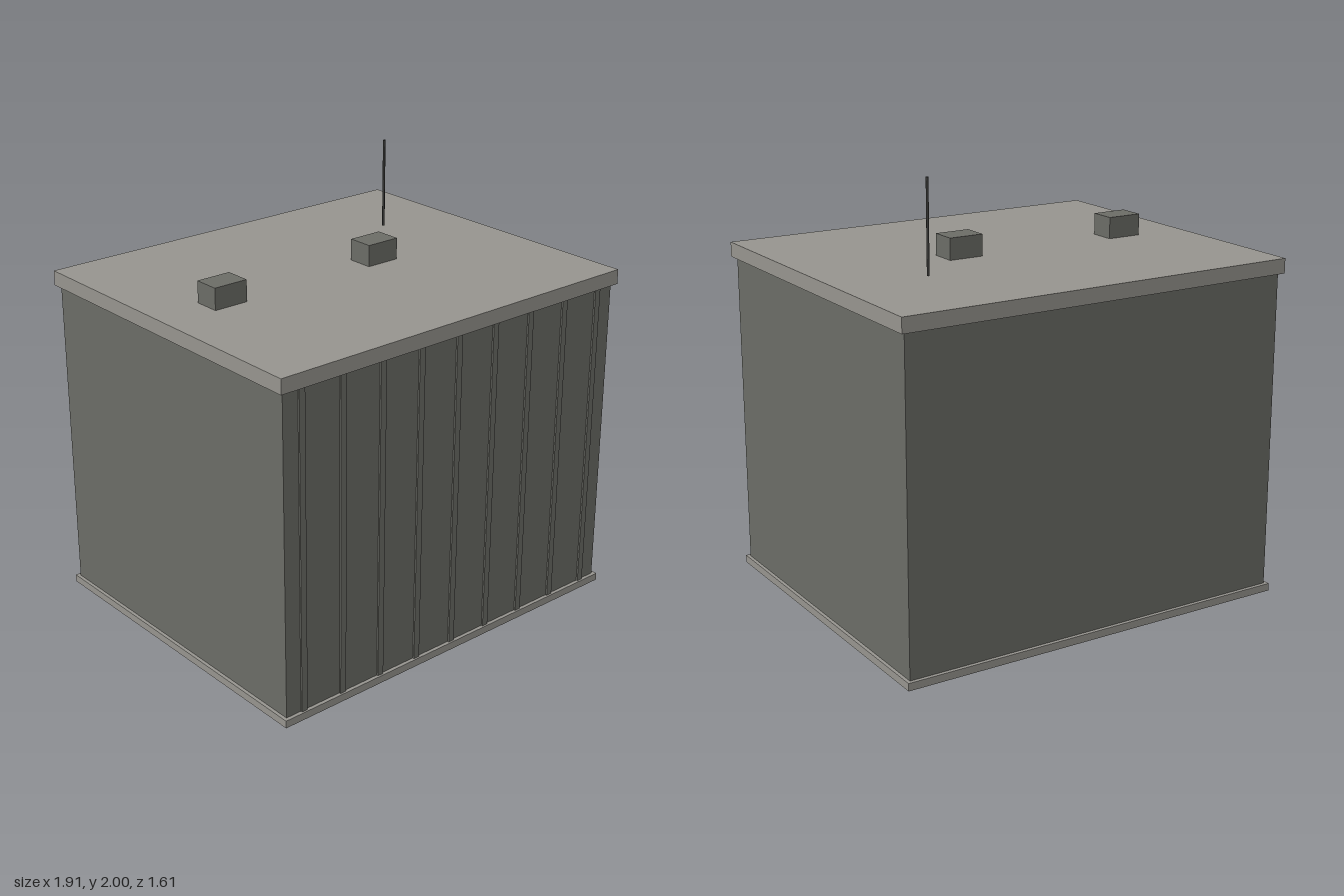
import * as THREE from 'three';

export function createModel() {
  const group = new THREE.Group();
  const material = (name, color) => {
    const m = new THREE.MeshStandardMaterial({ color });
    m.name = name;
    return m;
  };
  const wall = material('wall grey', 0x6b6c66);
  const trim = material('trim grey', 0x96948e);
  const metal = material('dark metal', 0x383836);

  // Box centred on x and z, with its underside at y
  const box = (name, mat, w, h, d, x, y, z) => {
    const mesh = new THREE.Mesh(new THREE.BoxGeometry(w, h, d), mat);
    mesh.name = name;
    mesh.position.set(x, y + h / 2, z);
    group.add(mesh);
    return mesh;
  };

  // Building shell
  box('basePlinth', trim, 1.904, 0.035, 1.6, 0, 0, 0);
  box('walls', wall, 1.872, 1.47, 1.566, 0, 0.035, 0);
  box('roofSlab', trim, 1.914, 0.068, 1.606, 0, 1.504, 0);

  // Shallow vertical fins across the front
  for (let i = 0; i < 9; i++) {
    box('frontFin', wall, 0.03, 1.469, 0.008, (i - 4) * 0.211, 0.035, 0.787);
  }

  // Rooftop units
  for (const x of [-0.628, 0.222]) {
    box('roofUnit', wall, 0.166, 0.1, 0.122, x, 1.571, 0);
  }

  // Thin mast
  const mast = new THREE.Mesh(new THREE.CylinderGeometry(0.006, 0.006, 0.415, 8), metal);
  mast.name = 'mast';
  mast.position.set(0.559, 1.7925, -0.313);
  group.add(mast);

  return group;
}
